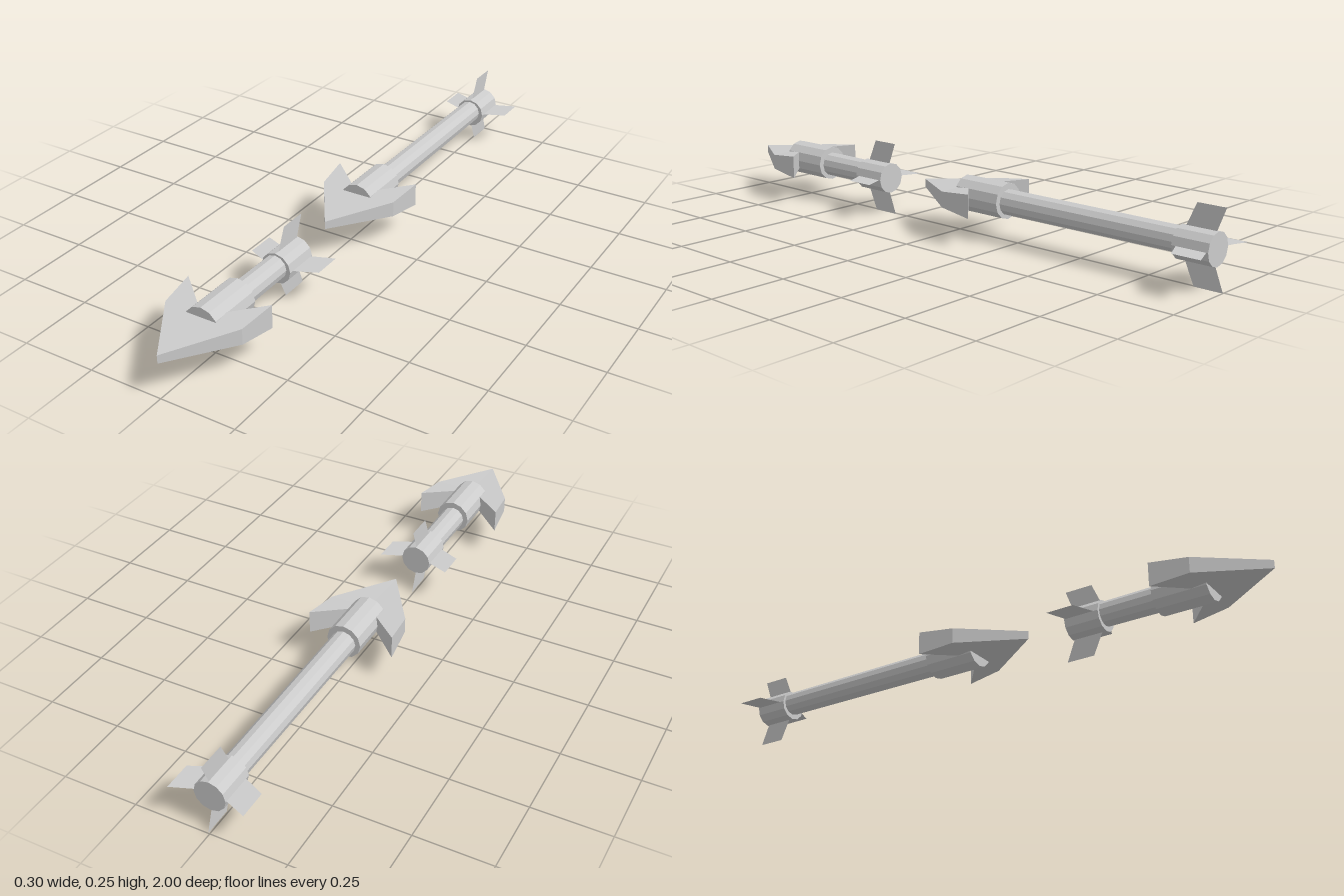
import * as THREE from 'three';

const material = new THREE.MeshStandardMaterial({ color: 0xcccccc, flatShading: true });
const finMaterial = new THREE.MeshStandardMaterial({ color: 0xcccccc, flatShading: true, side: THREE.DoubleSide });

function addMesh(parent, name, geometry, mat = material) {
  const mesh = new THREE.Mesh(geometry, mat);
  mesh.name = name;
  parent.add(mesh);
  return mesh;
}

// Twelve-sided rod along z, with its own radius at each end
function rod(parent, name, zBack, zFront, rBack, rFront, x, y) {
  const geometry = new THREE.CylinderGeometry(rFront, rBack, zFront - zBack, 12).rotateX(Math.PI / 2);
  addMesh(parent, name, geometry).position.set(x, y, (zBack + zFront) / 2);
}

// Barbed wedge, thin at the tip and thicker toward the barbs: [x, z, half thickness]
function headGeometry() {
  const outline = [
    [0, 0, 0.0135], [0.134, -0.205, 0.026], [0.148, -0.33, 0.039],
    [0, -0.2, 0.025], [-0.148, -0.33, 0.039], [-0.134, -0.205, 0.026],
  ];
  const n = outline.length;
  const positions = [];
  for (const side of [1, -1]) for (const [x, z, h] of outline) positions.push(x, side * h, z);
  const index = [];
  for (const [a, b, c] of [[0, 1, 3], [1, 2, 3], [0, 3, 5], [3, 4, 5]]) {
    index.push(a, b, c, n + a, n + c, n + b);
  }
  for (let i = 0; i < n; i++) {
    const j = (i + 1) % n;
    index.push(i, n + i, j, j, n + i, n + j);
  }
  const geometry = new THREE.BufferGeometry();
  geometry.setAttribute('position', new THREE.Float32BufferAttribute(positions, 3));
  geometry.setIndex(index);
  const flat = geometry.toNonIndexed();
  flat.computeVertexNormals();
  return flat;
}

// Swept-back thin fin, pointing out along +x from the axis, z = 0 at its rear tip
function finGeometry() {
  const shape = new THREE.Shape([
    new THREE.Vector2(0.045, 0.03), new THREE.Vector2(0.123, 0),
    new THREE.Vector2(0.123, 0.095), new THREE.Vector2(0.045, 0.13),
  ]);
  return new THREE.ShapeGeometry(shape).rotateX(Math.PI / 2);
}

function arrow(name, tipZ, endZ) {
  const group = new THREE.Group();
  group.name = name;
  addMesh(group, 'head', headGeometry()).position.set(0, 0.134, tipZ);
  rod(group, 'collar', tipZ - 0.37, tipZ - 0.193, 0.059, 0.059, 0.002, 0.133);
  rod(group, 'shaft', endZ + 0.1, tipZ - 0.3, 0.04, 0.042, 0.002, 0.13);
  rod(group, 'tailSleeve', endZ + 0.022, endZ + 0.142, 0.052, 0.052, 0.004, 0.125);

  // Four fins around the tail sleeve
  const fins = new THREE.Group();
  fins.name = 'fins';
  fins.position.set(0.005, 0.125, endZ);
  for (let i = 0; i < 4; i++) {
    addMesh(fins, 'fin', finGeometry(), finMaterial).rotation.z = i * Math.PI / 2;
  }
  group.add(fins);
  return group;
}

export function createModel() {
  const model = new THREE.Group();
  model.name = 'arrows';
  model.add(arrow('shortArrow', 1, 0.3));
  model.add(arrow('longArrow', 0.16, -1));
  return model;
}
